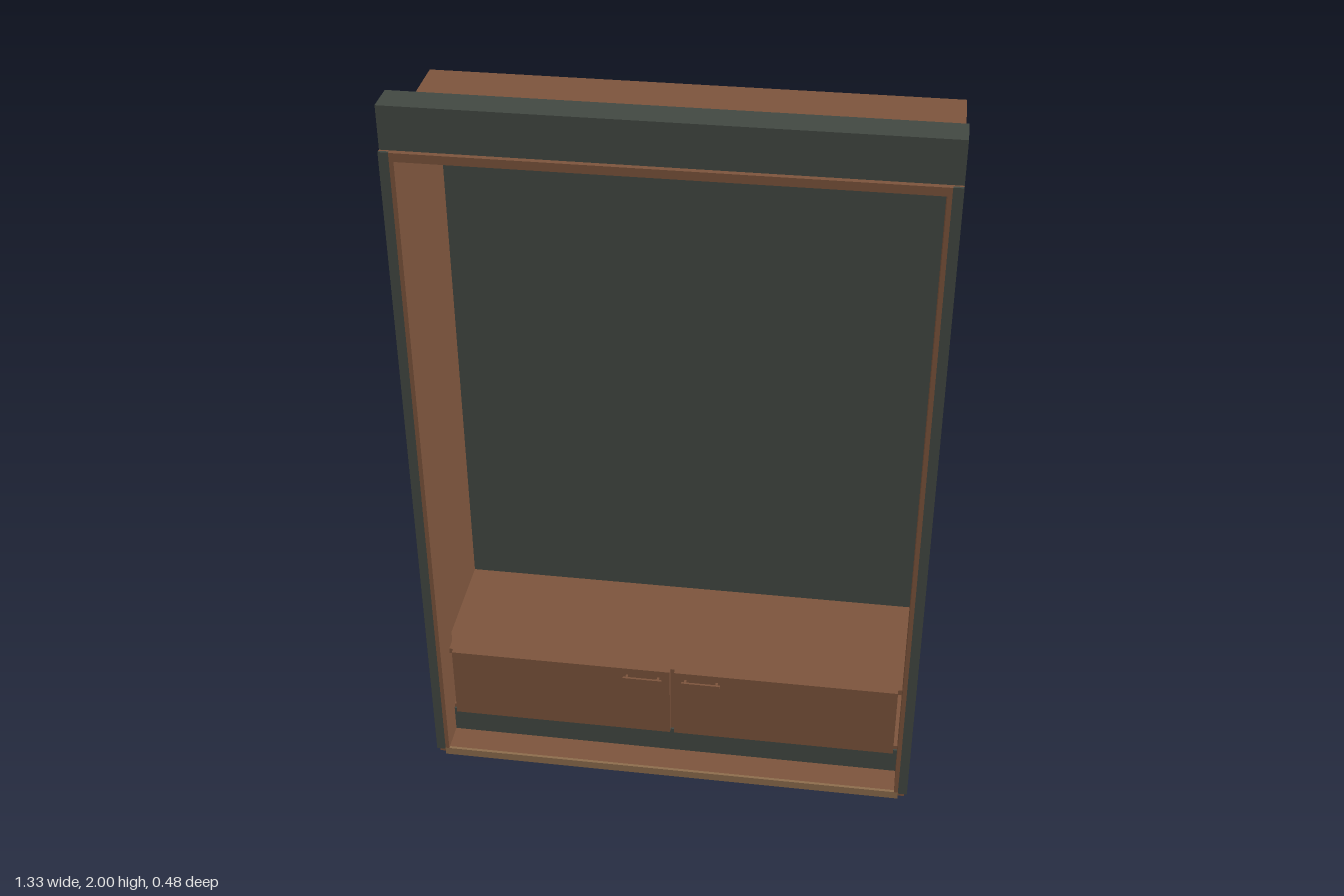
import * as THREE from 'three';

const mat = (name, color) => {
  const m = new THREE.MeshStandardMaterial({ color });
  m.name = name;
  return m;
};

export function createModel() {
  const wood = mat('brown wood', 0x7c543c);
  const dark = mat('dark grey green', 0x424842);
  const tan = mat('light wood edge', 0x8c6c4c);

  const model = new THREE.Group();
  model.name = 'cabinet';

  // box given by its minimum and maximum on each axis
  const box = (name, material, [x0, x1], [y0, y1], [z0, z1], parent = model) => {
    const mesh = new THREE.Mesh(new THREE.BoxGeometry(x1 - x0, y1 - y0, z1 - z0), material);
    mesh.position.set((x0 + x1) / 2, (y0 + y1) / 2, (z0 + z1) / 2);
    mesh.name = name;
    parent.add(mesh);
    return mesh;
  };
  // the same box on the left (+x) and right (-x)
  const pair = (name, material, [x0, x1], y, z) => {
    box(name + 'Left', material, [x0, x1], y, z);
    box(name + 'Right', material, [-x1, -x0], y, z);
  };

  // carcass
  pair('sidePanel', wood, [0.642, 0.667], [0.03, 1.87], [-0.24, 0.232]);
  box('topPanel', wood, [-0.667, 0.667], [1.868, 1.89], [-0.242, 0.232]);
  box('bottomPanel', wood, [-0.66, 0.66], [0.016, 0.034], [-0.24, 0.232]);
  box('backPanel', dark, [-0.642, 0.642], [0.034, 1.868], [-0.225, -0.205]);

  // front edging
  pair('sideEdge', dark, [0.642, 0.667], [0.03, 1.89], [0.232, 0.239]);
  box('topEdge', wood, [-0.642, 0.642], [1.868, 1.89], [0.232, 0.24]);
  box('bottomEdge', tan, [-0.642, 0.642], [0.012, 0.035], [0.232, 0.24]);
  pair('innerFrame', wood, [0.631, 0.642], [0.035, 1.868], [0.12, 0.24]);

  // fascia on top
  box('topFascia', dark, [-0.667, 0.667], [1.89, 2], [0.14, 0.226]);

  // plinth and shelf over the drawers
  box('kickPlate', dark, [-0.642, 0.642], [0.034, 0.112], [0.14, 0.155]);
  box('drawerShelf', wood, [-0.642, 0.642], [0.318, 0.334], [-0.205, 0.155]);
  box('drawerFloor', wood, [-0.642, 0.642], [0.112, 0.124], [-0.205, 0.15]);
  box('drawerDivider', wood, [-0.02, 0.02], [0.124, 0.318], [-0.205, 0.15]);

  // two drawers with slim bar handles near the middle
  for (const s of [1, -1]) {
    const drawer = new THREE.Group();
    drawer.name = s > 0 ? 'drawerLeft' : 'drawerRight';
    const span = (a, b) => (s > 0 ? [a, b] : [-b, -a]);
    box('drawerFront', wood, span(0.006, 0.62), [0.113, 0.334], [0.155, 0.17], drawer);
    box('drawerBody', wood, span(0.03, 0.615), [0.13, 0.31], [-0.18, 0.155], drawer);
    box('handleBar', wood, span(0.028, 0.135), [0.306, 0.313], [0.18, 0.186], drawer);
    for (const x of [0.035, 0.122]) {
      box('handlePost', wood, span(x, x + 0.006), [0.306, 0.313], [0.17, 0.18], drawer);
    }
    model.add(drawer);
  }

  // thin rail under the base
  box('footRail', dark, [-0.6, 0.6], [0.006, 0.016], [0.185, 0.2]);
  box('footRailLip', dark, [-0.57, 0.57], [0, 0.006], [0.189, 0.196]);

  return model;
}
